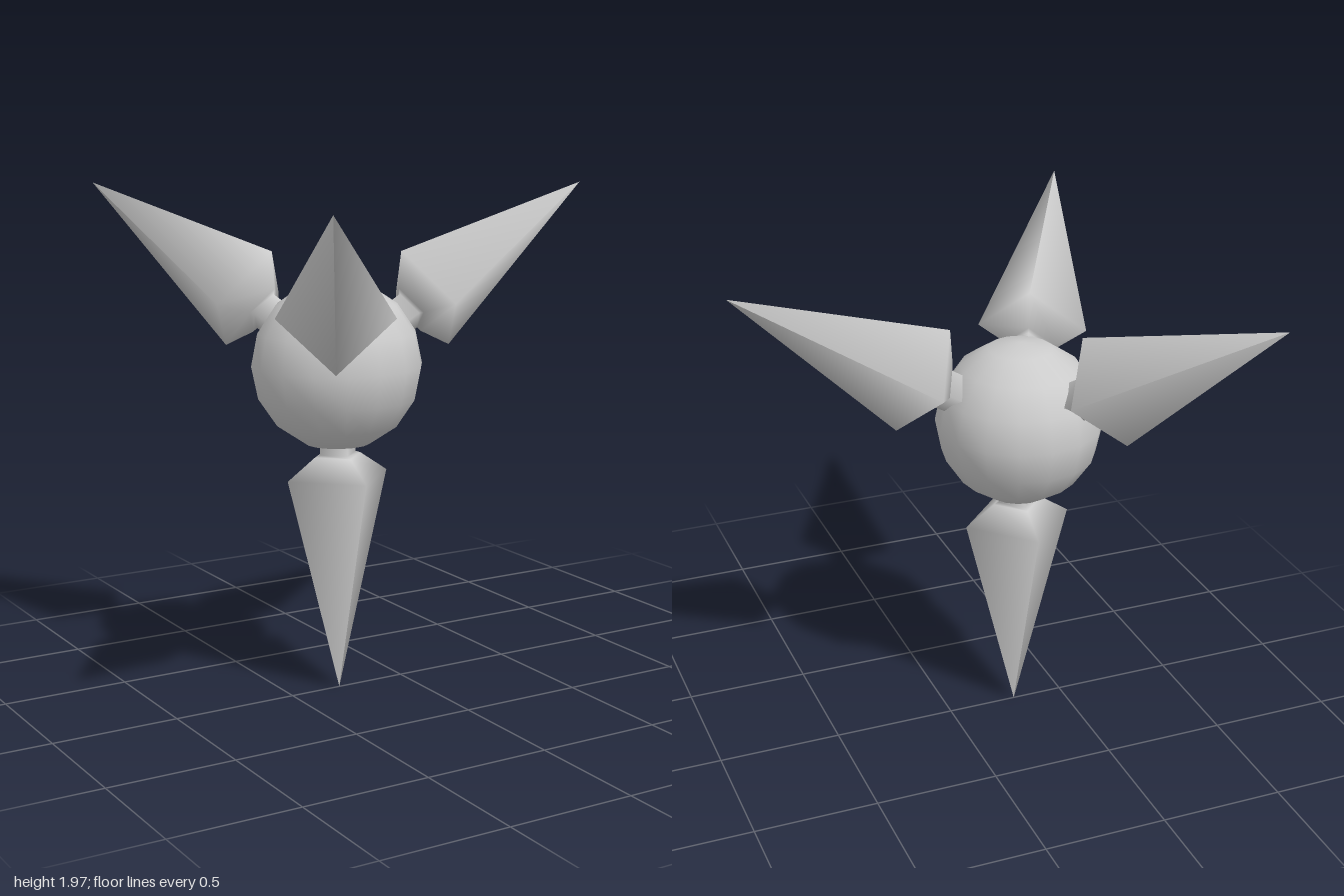
import * as THREE from 'three';

export function createModel() {
  const model = new THREE.Group();
  const material = new THREE.MeshStandardMaterial({ color: 0xcccccc });
  const body = new THREE.Group();
  body.name = 'body';
  body.position.set(-0.288, 1.306, 0);
  model.add(body);

  // Central ball
  const ball = new THREE.Mesh(new THREE.SphereGeometry(0.333, 16, 8), material);
  ball.name = 'ball';
  body.add(ball);

  // Four-sided spike with a narrow neck, growing along +y from the ball's centre
  const profile = [
    [0.078, 0.28], [0.08, 0.375], [0.102, 0.383], [0.222, 0.465], [0, 1.332],
  ].map(([r, y]) => new THREE.Vector2(r, y));
  const spikeGeometry = new THREE.LatheGeometry(profile, 4);

  function addSpike(name, tilt, turn, offset = 0) {
    const spike = new THREE.Mesh(spikeGeometry, material);
    spike.name = name;
    spike.rotation.set(0, turn, tilt, 'YXZ'); // tilt outward, then turn about y
    spike.position.y = offset;
    body.add(spike);
  }

  // Three raised spikes, evenly spaced, and one pointing down
  ['leftSpike', 'backRightSpike', 'frontRightSpike'].forEach((name, i) =>
    addSpike(name, -Math.PI / 3, (i * 2 * Math.PI) / 3));
  addSpike('lowerSpike', Math.PI, 0, 0.026);

  return model;
}
